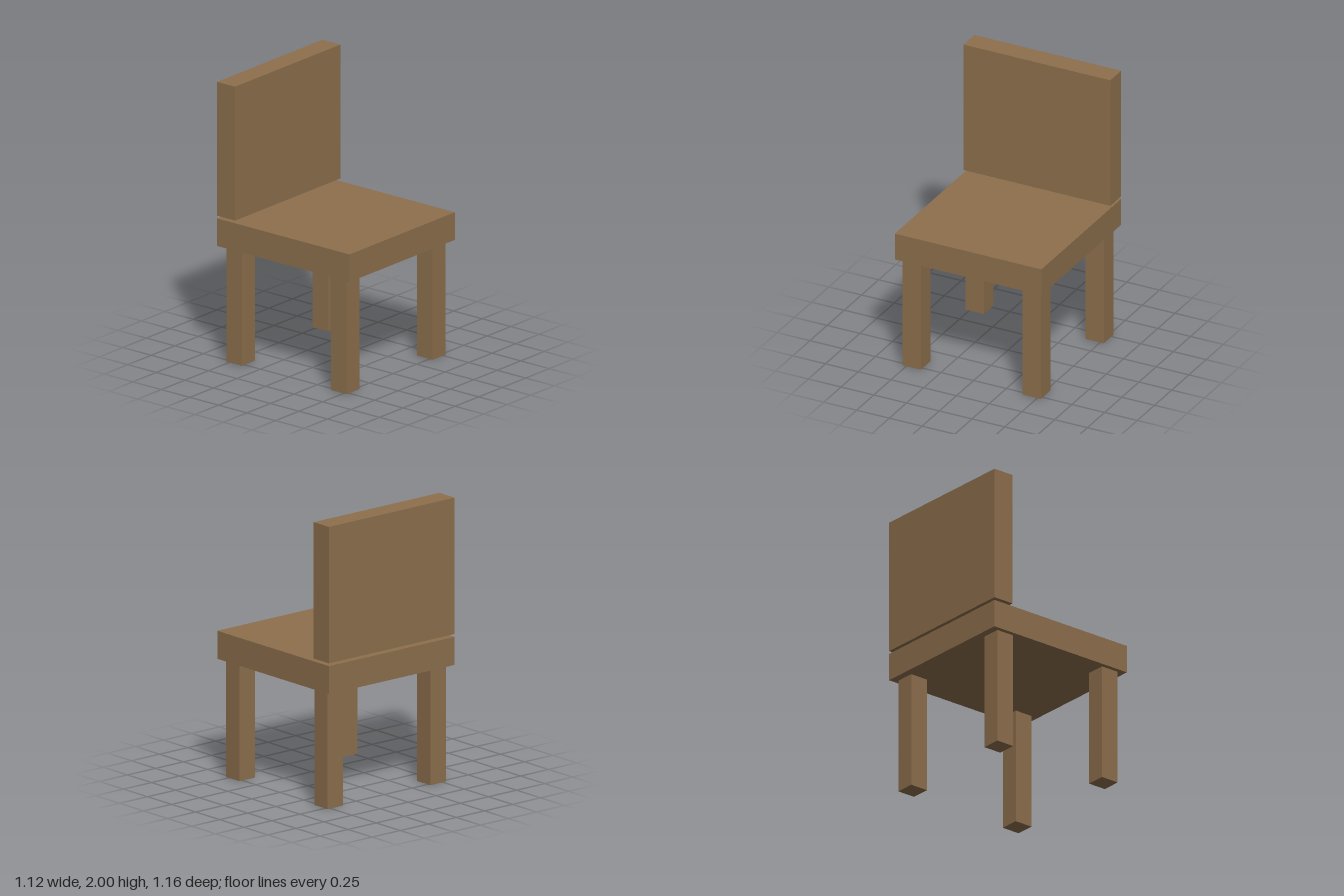
import * as THREE from 'three';

export function createModel() {
  const chair = new THREE.Group();
  chair.name = 'chair';
  const wood = new THREE.MeshStandardMaterial({ color: 0x8d6f4d });
  wood.name = 'brown wood';

  // Box placed by the height of its underside
  function addBox(name, width, height, depth, x, bottom, z) {
    const mesh = new THREE.Mesh(new THREE.BoxGeometry(width, height, depth), wood);
    mesh.name = name;
    mesh.position.set(x, bottom + height / 2, z);
    chair.add(mesh);
  }

  // Thick seat slab
  addBox('seat', 1.12, 0.197, 1.16, 0, 0.825, 0);

  // Backrest panel, floating just above the rear of the seat
  addBox('backrest', 1.12, 0.958, 0.158, 0, 1.042, -0.501);

  // Four square legs
  for (const [side, x] of [['Left', 0.458], ['Right', -0.458]]) {
    for (const [end, z] of [['front', 0.458], ['back', -0.458]]) {
      addBox(`${end}${side}Leg`, 0.138, 0.825, 0.138, x, 0, z);
    }
  }

  return chair;
}
